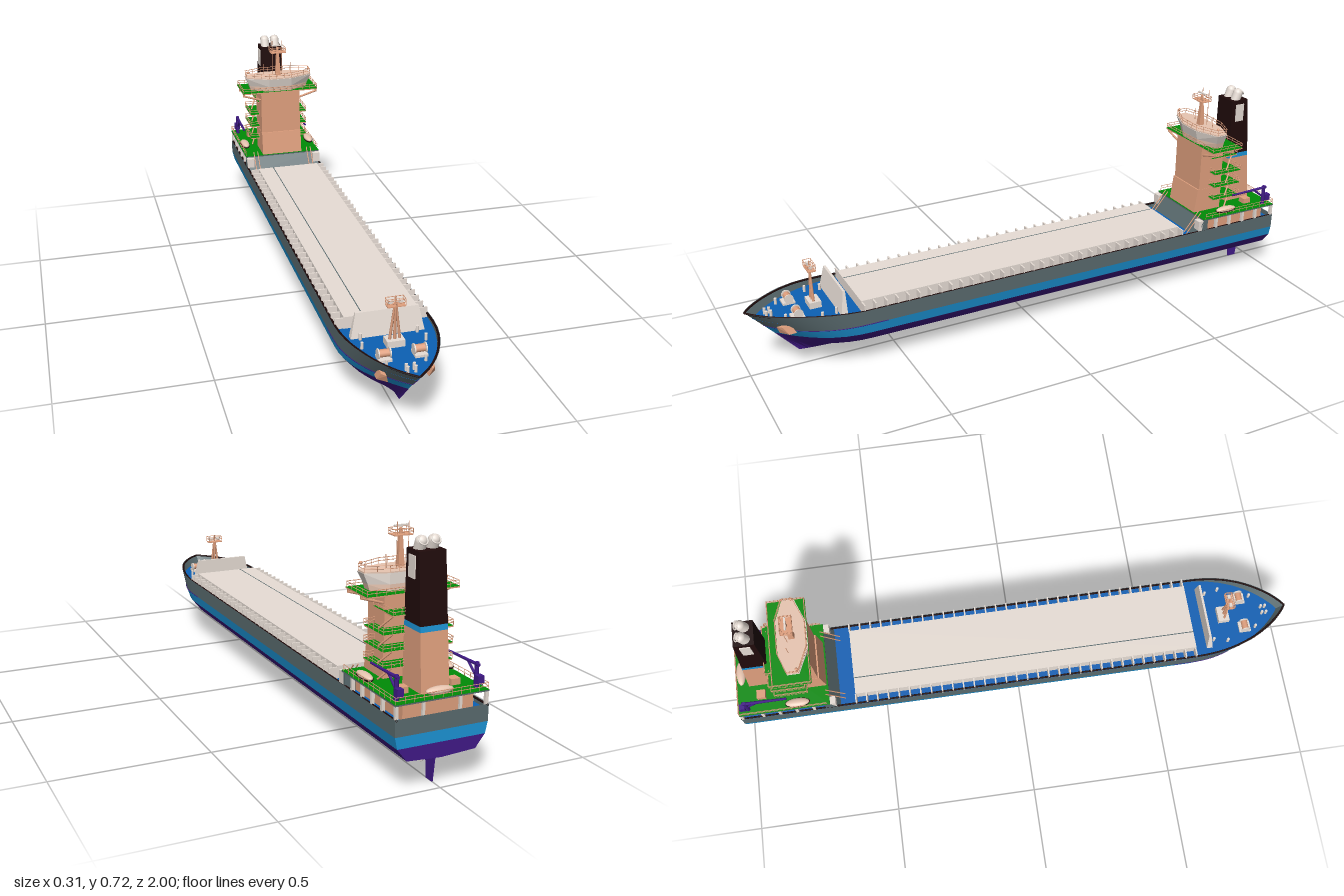
import * as THREE from 'three';
import { toCreasedNormals, mergeGeometries } from 'three/addons/utils/BufferGeometryUtils.js';
import { ConvexGeometry } from 'three/addons/geometries/ConvexGeometry.js';

const mat = (name, color) => {
  const m = new THREE.MeshStandardMaterial({ color, side: THREE.DoubleSide });
  m.name = name;
  return m;
};
const V = (x, y, z) => new THREE.Vector3(x, y, z);

export function createModel() {
  const purple = mat('antifouling purple', 0x411a88), blue = mat('band blue', 0x1c94d6);
  const deckBlue = mat('deck blue', 0x0c60b4), grey = mat('hull grey', 0x5a6b6f);
  const salmon = mat('salmon', 0xe0a07e), pale = mat('pale grey', 0xe8ded6);
  const green = mat('deck green', 0x008c06), black = mat('funnel black', 0x200b0b);
  const peach = mat('light peach', 0xeecbb6);
  const ship = new THREE.Group();
  ship.name = 'cargoShip';

  // ---- helpers
  const add = (name, geo, m) => {
    const mesh = new THREE.Mesh(geo, m);
    mesh.name = name;
    ship.add(mesh);
    return mesh;
  };
  // box from its minimum and maximum corners
  const boxGeo = (x0, x1, y0, y1, z0, z1) =>
    new THREE.BoxGeometry(x1 - x0, y1 - y0, z1 - z0).translate((x0 + x1) / 2, (y0 + y1) / 2, (z0 + z1) / 2);
  const box = (name, m, ...b) => add(name, boxGeo(...b), m);
  // deck slab with a thin green floor on top
  const deck = (name, m, w, y, z0, z1) => {
    box(name, m, -w, w, y - 0.005, y - 0.0008, z0, z1);
    box(name + 'Floor', green, -w, w, y - 0.0008, y, z0, z1);
  };
  // thin round bar between two points
  const bar = (p, q, r = 0.0012, r2 = r) => {
    const d = q.clone().sub(p), g = new THREE.CylinderGeometry(r2, r, d.length(), 6);
    g.applyQuaternion(new THREE.Quaternion().setFromUnitVectors(V(0, 1, 0), d.normalize()));
    return g.translate(...p.clone().add(q).multiplyScalar(0.5).toArray());
  };
  // solid between two outlines of [x, z] at two heights
  const loft = (name, m, y0, low, y1, high) =>
    add(name, new ConvexGeometry([...low.map(p => V(p[0], y0, p[1])), ...high.map(p => V(p[0], y1, p[1]))]), m);
  const rect = (x, z0, z1) => [[-x, z0], [x, z0], [x, z1], [-x, z1]];
  // guard rail along [x, z] points
  const rail = (name, y, h, pts, m = salmon) => {
    const parts = [];
    for (let i = 0; i + 1 < pts.length; i++) {
      const a = V(pts[i][0], y, pts[i][1]), b = V(pts[i + 1][0], y, pts[i + 1][1]);
      const n = Math.max(1, Math.round(a.distanceTo(b) / 0.03));
      for (let k = 0; k <= n; k++) {
        const p = a.clone().lerp(b, k / n);
        parts.push(bar(p, p.clone().setY(y + h), 0.0009));
      }
      for (const f of [0.5, 1]) parts.push(bar(a.clone().setY(y + h * f), b.clone().setY(y + h * f), 0.0011));
    }
    add(name, mergeGeometries(parts), m);
  };

  // ---- hull: five waterlines, each with height, half width and bow position
  const levels = [[0.045, 0, 0.83], [0.1, 0.112, 0.871], [0.14, 0.143, 0.907], [0.176, 0.151, 0.94], [0.228, 0.152, 1]];
  const stations = [-1, -0.93, -0.875, -0.86, -0.7, -0.3, 0.1, 0.5];
  const fr = [0.15, 0.3, 0.4, 0.5, 0.6, 0.7, 0.78, 0.85, 0.91, 0.96, 0.985, 1];
  const count = stations.length + fr.length;
  const hullPoint = (l, i) => {
    let [y, w, bow] = levels[l];
    const f = i < stations.length ? 0 : fr[i - stations.length];
    const z = f ? 0.5 + (bow - 0.5) * f : stations[i];
    const s = Math.max(0, (f - 0.3) / 0.7);
    w *= Math.pow(Math.max(0, 1 - Math.pow(s, 2.2)), 0.8 + (4 - l) * 0.12);
    if (l === 0) y = i < 3 ? 0.093 - 0.002 * i : 0.045 + 0.01 * s * s;
    if (l === 4) y += 0.011 * Math.min(1, 2 * s);
    return V(w, y, z);
  };
  const band = (name, m, l0, l1) => {
    const pos = [], idx = [];
    for (const sx of [1, -1]) for (let l = l0; l < l1; l++) {
      const o = pos.length / 3;
      for (let i = 0; i < count; i++) for (const k of [l, l + 1]) {
        const p = hullPoint(k, i);
        pos.push(sx * p.x, p.y, p.z);
      }
      for (let i = 0; i + 1 < count; i++) {
        const a = o + 2 * i, d = a + 1, b = a + 2, c = a + 3;
        idx.push(...(sx > 0 ? [a, d, c, a, c, b] : [a, c, d, a, b, c]));
      }
    }
    // transom strip
    for (let l = l0; l < l1; l++) {
      const o = pos.length / 3, p = hullPoint(l, 0), q = hullPoint(l + 1, 0);
      pos.push(p.x, p.y, -1, -p.x, p.y, -1, -q.x, q.y, -1, q.x, q.y, -1);
      idx.push(o, o + 1, o + 2, o, o + 2, o + 3);
    }
    const g = new THREE.BufferGeometry();
    g.setAttribute('position', new THREE.Float32BufferAttribute(pos, 3));
    g.setIndex(idx);
    add(name, toCreasedNormals(g, 0.5), m);
  };
  band('lowerHull', purple, 0, 2);
  band('waterlineBand', blue, 2, 3);
  band('upperHull', grey, 3, 4);

  // main deck inside the bulwark
  const edge = [...Array(count).keys()].map(i => hullPoint(3, i).lerp(hullPoint(4, i), 0.6));
  const outline = [...edge.map(p => [p.x, p.z]), ...edge.slice(0, -1).reverse().map(p => [-p.x, p.z])];
  const deckShape = new THREE.Shape(outline.map(p => new THREE.Vector2(p[0] * 0.99, -p[1] * 0.998)));
  add('mainDeck', new THREE.ShapeGeometry(deckShape).rotateX(-Math.PI / 2).translate(0, 0.21, 0), deckBlue);
  // dark cap just inside the bulwark top, thin purple line around the bow
  const sideTube = (name, m, l, from, inset, r) => {
    for (const s of [1, -1]) {
      const pts = [...Array(count).keys()].slice(from).map(i => hullPoint(l, i))
        .map(p => V(s * Math.max(0, p.x - inset), p.y - inset / 2, p.z - inset / 2));
      add(name, new THREE.TubeGeometry(new THREE.CatmullRomCurve3(pts), 90, r, 5), m);
    }
  };
  sideTube('bulwarkCap', black, 4, 0, 0.0045, 0.0035);
  sideTube('bowLine', purple, 3, stations.length, 0, 0.0014);

  // ---- cargo hatch with seam and side brackets
  box('hatchCover', pale, -0.12, 0.12, 0.21, 0.25, -0.59, 0.645);
  box('hatchSeam', grey, -0.0615, -0.0585, 0.25, 0.2506, -0.59, 0.645);
  const brackets = [];
  for (let i = 0; i <= 32; i++) for (const s of [1, -1]) {
    const z = -0.59 + i * 0.0385;
    brackets.push(boxGeo(s * 0.134 - 0.015, s * 0.134 + 0.015, 0.211, 0.247, z - 0.0025, z + 0.0025));
  }
  add('hatchBrackets', mergeGeometries(brackets), pale);
  // breakwater
  loft('breakwater', pale, 0.21, rect(0.117, 0.69, 0.712), 0.29, rect(0.1, 0.69, 0.698));

  // ---- foredeck: mast, winches, bollards, anchors
  box('mastBase', pale, -0.028, 0.028, 0.21, 0.232, 0.75, 0.79);
  add('foremast', bar(V(0, 0.21, 0.773), V(0, 0.372, 0.773), 0.006, 0.002), salmon);
  for (const s of [1, -1]) add('foremastLeg', bar(V(s * 0.018, 0.21, 0.773), V(s * 0.003, 0.343, 0.773), 0.005, 0.003), salmon);
  box('foremastPlatform', salmon, -0.028, 0.028, 0.343, 0.346, 0.76, 0.786);
  rail('foremastRail', 0.346, 0.02, [[-0.028, 0.76], [0.028, 0.76], [0.028, 0.786], [-0.028, 0.786], [-0.028, 0.76]]);
  for (const s of [1, -1]) {
    box('foremastLamp', pale, s * 0.016 - 0.006, s * 0.016 + 0.006, 0.35, 0.36, 0.768, 0.778);
    add('winchDrum', new THREE.CylinderGeometry(0.012, 0.012, 0.03, 12).rotateZ(Math.PI / 2).translate(s * 0.055, 0.23, 0.84), salmon);
    for (const dx of [-0.018, 0.018])
      add('winchFlange', new THREE.CylinderGeometry(0.016, 0.016, 0.004, 12).rotateZ(Math.PI / 2).translate(s * 0.055 + dx, 0.23, 0.84), pale);
    box('winchBase', pale, s * 0.055 - 0.02, s * 0.055 + 0.02, 0.21, 0.218, 0.82, 0.862);
    for (const [x, z] of [[0.1, 0.77], [0.09, 0.72], [0.012, 0.915], [0.012, 0.93], [0.06, 0.88]])
      add('bollard', new THREE.CylinderGeometry(0.005, 0.005, 0.022, 8).translate(s * x, 0.221, z), pale);
    loft('anchor', salmon, 0.172, [[s * 0.062, 0.905], [s * 0.09, 0.88], [s * 0.088, 0.855], [s * 0.06, 0.87]],
      0.2, [[s * 0.07, 0.915], [s * 0.082, 0.9], [s * 0.08, 0.87], [s * 0.068, 0.88]]);
  }

  // ---- poop: sloping front, inner house, green deck on posts
  loft('poopFront', grey, 0.21, rect(0.15, -0.7, -0.648), 0.266, rect(0.15, -0.7, -0.682));
  box('poopHouse', salmon, -0.115, 0.115, 0.21, 0.265, -0.975, -0.69);
  deck('poopDeck', grey, 0.152, 0.271, -1, -0.68);
  for (const s of [1, -1]) {
    for (const z of [-0.74, -0.8, -0.86, -0.92, -0.994])
      box('poopPost', pale, s * 0.146 - 0.005, s * 0.146 + 0.005, 0.21, 0.266, z - 0.005, z + 0.005);
    box('poopFrontLocker', pale, s * 0.136 - 0.014, s * 0.136 + 0.014, 0.21, 0.266, -0.69, -0.66);
    box('sternPost', pale, s * 0.06 - 0.004, s * 0.06 + 0.004, 0.21, 0.266, -0.998, -0.99);
    for (const dx of [-0.008, 0.008])
      add('ladder', bar(V(s * 0.11 + dx, 0.212, -0.63), V(s * 0.11 + dx, 0.285, -0.69), 0.002), salmon);
  }
  rail('poopRail', 0.271, 0.02, [[-0.15, -0.69], [-0.15, -0.998], [0.15, -0.998], [0.15, -0.69]]);

  // ---- accommodation tower and stacked balconies
  loft('lowerHouse', salmon, 0.27, rect(0.08, -0.8, -0.685), 0.36, rect(0.08, -0.8, -0.697));
  box('towerHouse', salmon, -0.079, 0.079, 0.355, 0.53, -0.8, -0.702);
  for (const y of [0.325, 0.375, 0.425, 0.478]) {
    const w = y > 0.45 ? 0.085 : 0.115;
    deck('balcony', salmon, w, y, -0.86, -0.745);
    rail('balconyRail', y, 0.018, [[-0.08, -0.745], [-w, -0.745], [-w, -0.86], [w, -0.86], [w, -0.745], [0.08, -0.745]]);
    for (const s of [1, -1]) add('balconyStair', bar(V(s * 0.1, y - 0.05, -0.805), V(s * 0.07, y, -0.85), 0.003), salmon);
  }

  // ---- bridge with wings, braces and roof
  deck('bridgeDeck', salmon, 0.152, 0.531, -0.83, -0.7);
  rail('bridgeRail', 0.53, 0.018, [[-0.15, -0.702], [-0.15, -0.828], [0.15, -0.828], [0.15, -0.702], [-0.15, -0.702]]);
  for (const s of [1, -1]) for (const z of [-0.71, -0.79]) {
    add('wingBrace', bar(V(s * 0.078, 0.497, z), V(s * 0.148, 0.518, z), 0.004), salmon);
    add('wingStrut', bar(V(s * 0.148, 0.515, z), V(s * 0.148, 0.528, z), 0.004), salmon);
  }
  const plan = (w, f) => [[-0.045, f], [0.045, f], [w, f - 0.035], [w, -0.77], [0.06, -0.795], [-0.06, -0.795], [-w, -0.77], [-w, f - 0.035]];
  loft('bridgeBase', peach, 0.53, plan(0.112, -0.705), 0.55, plan(0.118, -0.702));
  loft('bridgeHouse', pale, 0.55, plan(0.118, -0.702), 0.583, plan(0.132, -0.694));
  loft('bridgeRoof', peach, 0.583, plan(0.13, -0.696), 0.587, plan(0.13, -0.696));
  rail('roofRail', 0.587, 0.018, [...plan(0.129, -0.697), [-0.045, -0.697]]);
  for (const s of [1, -1]) add('searchlight', new THREE.SphereGeometry(0.005, 10, 8).translate(s * 0.123, 0.607, -0.735), salmon);

  // radar mast
  loft('radarMast', salmon, 0.587, rect(0.01, -0.755, -0.735), 0.7, rect(0.004, -0.748, -0.742));
  box('radarPlatform', salmon, -0.03, 0.03, 0.68, 0.683, -0.765, -0.725);
  rail('radarRail', 0.683, 0.016, [[-0.03, -0.765], [0.03, -0.765], [0.03, -0.725], [-0.03, -0.725], [-0.03, -0.765]]);
  box('radarScanner', pale, -0.022, 0.022, 0.705, 0.71, -0.748, -0.742);
  for (const x of [-0.055, 0.055, -0.018, 0.02])
    add('aerial', bar(V(x, 0.587, -0.76), V(x, Math.abs(x) > 0.05 ? 0.63 : 0.722, -0.76)), salmon);

  // ---- funnel in stacked colours, sloping at the back
  const backZ = y => -0.96 + (y - 0.24) * 0.09;
  const funnelRing = y => rect(0.046 - (y - 0.27) * 0.008, backZ(y), -0.853);
  for (const [name, m, y0, y1] of [['funnelBase', salmon, 0.27, 0.445], ['funnelStripe', blue, 0.445, 0.462], ['funnelTop', black, 0.462, 0.67]])
    loft(name, m, y0, funnelRing(y0), y1, funnelRing(y1));
  for (const s of [1, -1]) {
    box('funnelVent', pale, s * 0.0435 - 0.003, s * 0.0435 + 0.003, 0.59, 0.655, -0.905, -0.87);
    // exhaust elbows: domed pipes with a collar facing aft
    add('exhaustPipe', new THREE.CapsuleGeometry(0.0175, 0.03, 6, 16).rotateX(-0.35).translate(s * 0.0205, 0.678, -0.886), pale);
    add('exhaustCollar', new THREE.TorusGeometry(0.014, 0.0025, 6, 18).rotateX(0.7).translate(s * 0.0205, 0.697, -0.903), pale);
  }

  // ---- boat cranes, boats and deck lockers on the poop
  for (const s of [1, -1]) {
    add('cranePost', bar(V(s * 0.13, 0.27, -0.965), V(s * 0.13, 0.345, -0.965), 0.008, 0.006), purple);
    add('craneArm', bar(V(s * 0.13, 0.338, -0.975), V(s * 0.13, 0.334, -0.82), 0.006, 0.004), purple);
    add('craneBrace', bar(V(s * 0.13, 0.3, -0.965), V(s * 0.13, 0.335, -0.92), 0.004), purple);
    add('craneWinch', boxGeo(s * 0.13 - 0.01, s * 0.13 + 0.01, 0.285, 0.31, -0.99, -0.97), purple);
    add('lifeboat', new THREE.SphereGeometry(1, 18, 12).scale(0.016, 0.01, 0.042).translate(s * 0.134, 0.287, -0.79), peach);
    add('lifeboatKeel', new THREE.SphereGeometry(1, 18, 8, 0, Math.PI * 2, Math.PI / 2, Math.PI / 2)
      .scale(0.0175, 0.012, 0.044).translate(s * 0.134, 0.285, -0.79), black);
    box('deckLocker', salmon, s * 0.085 - 0.015, s * 0.085 + 0.015, 0.271, 0.29, -0.93, -0.9);
  }
  add('sternBoat', new THREE.SphereGeometry(1, 18, 12).scale(0.045, 0.012, 0.016).translate(0, 0.286, -0.98), peach);

  // ---- rudder and propeller
  add('rudder', new ConvexGeometry([-0.002, 0.002].flatMap(x =>
    [V(x, 0.1, -0.915), V(x, 0.1, -0.97), V(x, 0, -0.957), V(x, 0, -0.925)])), purple);
  add('propellerShaft', bar(V(0, 0.062, -0.85), V(0, 0.062, -0.9), 0.006, 0.005), pale);
  for (let i = 0; i < 4; i++) {
    const blade = add('propellerBlade', new THREE.SphereGeometry(1, 10, 8).scale(0.008, 0.012, 0.002).rotateY(0.6).translate(0, 0.014, 0), pale);
    blade.position.set(0, 0.062, -0.892);
    blade.rotation.z = i * Math.PI / 2;
  }
  return ship;
}
